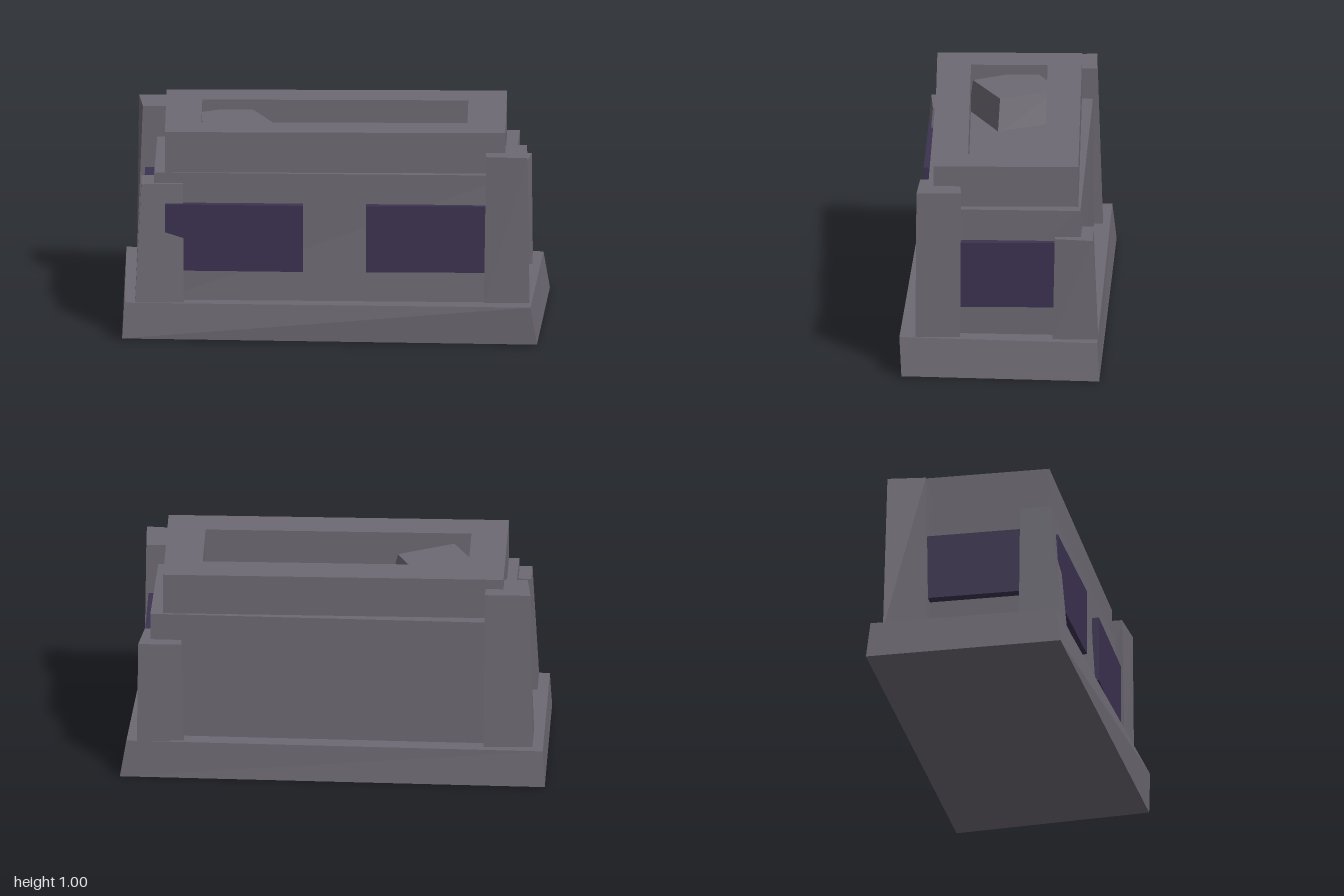
import * as THREE from 'three';

const stone = new THREE.MeshStandardMaterial({ color: 0x6d6973 });
stone.name = 'grey stone';
const panelMat = new THREE.MeshStandardMaterial({ color: 0x3c3250 });
panelMat.name = 'dark purple panel';

// Irregular block: a box whose eight corners are moved to given points.
// Corners of each ring run front left (-x), front right (+x), back right, back left.
function block(name, material, bottom, top) {
  const box = new THREE.BoxGeometry(2, 2, 2);
  const p = box.attributes.position;
  for (let i = 0; i < p.count; i++) {
    const ring = p.getY(i) > 0 ? top : bottom;
    const right = p.getX(i) > 0;
    const k = p.getZ(i) > 0 ? (right ? 1 : 0) : (right ? 2 : 3);
    p.setXYZ(i, ...ring[k]);
  }
  const geometry = box.toNonIndexed();
  geometry.computeVertexNormals();
  const mesh = new THREE.Mesh(geometry, material);
  mesh.name = name;
  return mesh;
}

// Ring of corners at one height from [x, z] pairs
const ring = (y, ...xz) => xz.map(([x, z]) => [x, y, z]);

export function createModel() {
  const model = new THREE.Group();
  model.name = 'stonePlanter';

  // Skewed plinth
  model.add(block('plinth', stone,
    [[-1, 0.01, 0.43], [0.95, 0.005, 0.49], [1, 0, -0.44], [-1, 0.005, -0.5]],
    [[-0.99, 0.18, 0.41], [0.92, 0.19, 0.5], [0.97, 0.18, -0.43], [-0.99, 0.18, -0.48]]));

  // Main body
  model.add(block('body', stone,
    ring(0.17, [-0.85, 0.36], [0.85, 0.415], [0.86, -0.36], [-0.85, -0.4]),
    ring(0.8, [-0.85, 0.345], [0.84, 0.375], [0.86, -0.35], [-0.84, -0.395])));

  // Upper rim with a rectangular opening
  const rect = (Type, x0, x1, y0, y1) => new Type([
    new THREE.Vector2(x0, y0), new THREE.Vector2(x1, y0),
    new THREE.Vector2(x1, y1), new THREE.Vector2(x0, y1)]);
  const shape = rect(THREE.Shape, -0.8, 0.8, -0.34, 0.34);
  shape.holes.push(rect(THREE.Path, -0.63, 0.62, -0.18, 0.18));
  const rimGeometry = new THREE.ExtrudeGeometry(shape, { depth: 0.198, bevelEnabled: false });
  rimGeometry.rotateX(-Math.PI / 2);
  const rim = new THREE.Mesh(rimGeometry, stone);
  rim.name = 'upperRim';
  rim.position.y = 0.8;
  model.add(rim);

  // Turned block lying in the opening
  model.add(block('innerBlock', stone,
    ring(0.79, [-0.55, 0.19], [-0.25, 0.05], [-0.39, -0.26], [-0.69, -0.12]),
    ring(0.95, [-0.55, 0.17], [-0.29, 0.04], [-0.42, -0.24], [-0.69, -0.11])));

  // Four corner buttresses of differing height
  model.add(block('frontRightButtress', stone,
    ring(0.17, [-0.71, 0.41], [-0.71, 0.22], [-0.94, 0.22], [-0.94, 0.41])
      .map((c, i, a) => a[[3, 0, 1, 2][i]]),
    ring(0.75, [-0.91, 0.37], [-0.715, 0.36], [-0.72, 0.23], [-0.91, 0.22])));
  model.add(block('frontLeftButtress', stone,
    ring(0.18, [0.7, 0.42], [0.915, 0.425], [0.91, 0.215], [0.71, 0.22]),
    [[0.71, 0.9, 0.405], [0.905, 0.9, 0.42], [0.9, 0.9, 0.21], [0.71, 0.9, 0.22]]));
  model.add(block('backLeftButtress', stone,
    ring(0.17, [0.7, -0.22], [0.92, -0.22], [0.92, -0.435], [0.7, -0.42]),
    ring(0.67, [0.72, -0.23], [0.89, -0.23], [0.915, -0.41], [0.71, -0.41])));
  model.add(block('backRightButtress', stone,
    ring(0.17, [-0.94, -0.22], [-0.72, -0.22], [-0.71, -0.44], [-0.94, -0.43]),
    ring(0.95, [-0.91, -0.23], [-0.72, -0.23], [-0.715, -0.41], [-0.93, -0.41])));

  // Front panels, following the slant of the body
  for (const [name, x0, x1, z0, z1] of [
    ['frontRightPanel', -0.8, -0.15, 0.38, 0.398],
    ['frontLeftPanel', 0.145, 0.8, 0.4, 0.402]]) {
    const corners = [[x0, z0], [x1, z1], [x1, 0.33], [x0, 0.33]];
    model.add(block(name, panelMat, ring(0.33, ...corners), ring(0.655, ...corners)));
  }

  // Side panels
  for (const [name, x0, x1] of [
    ['rightPanel', -0.9, -0.82], ['leftPanel', 0.82, 0.89]]) {
    const corners = [[x0, 0.235], [x1, 0.235], [x1, -0.235], [x0, -0.235]];
    model.add(block(name, panelMat, ring(0.33, ...corners), ring(0.65, ...corners)));
  }

  return model;
}
